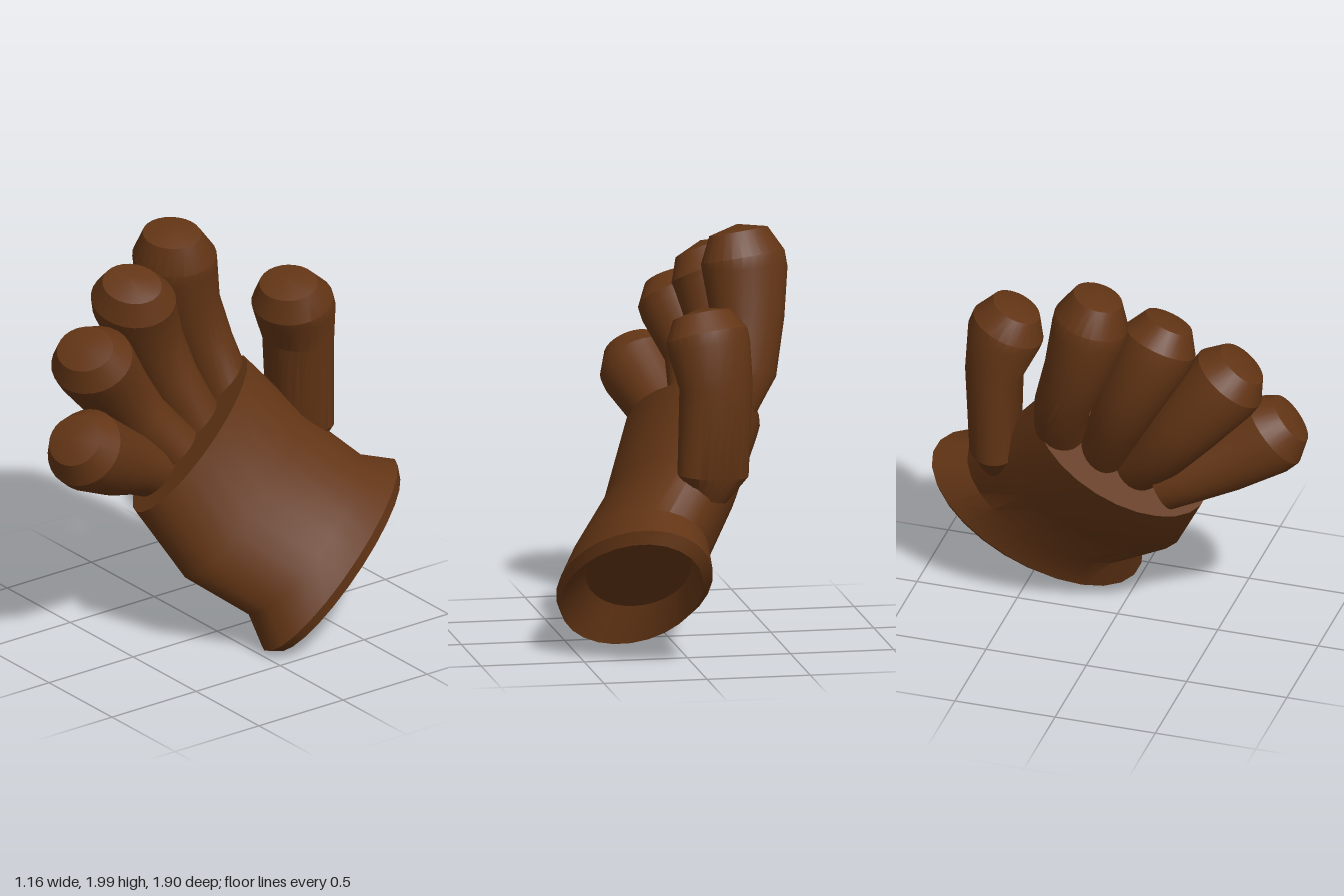
import * as THREE from 'three';
import { toCreasedNormals } from 'three/addons/utils/BufferGeometryUtils.js';

const V = (x, y, z) => new THREE.Vector3(x, y, z);
const SIDES = 26;

// Glove axes: along the hand, across the palm, through its thickness
const ALONG = V(-0.361, 0.708, 0.607).normalize();
const ACROSS = V(0.276, -0.541, 0.795).normalize();
const THICK = ALONG.clone().cross(ACROSS).normalize();
const CUFF = V(0.265, 0.335, -0.5);

const material = new THREE.MeshStandardMaterial({ color: 0x633515 });

// Skin elliptical rings { c, u, v, a, b } into a closed surface
function loft(name, rings) {
  const point = (r, j) => {
    const t = ((j % SIDES) / SIDES) * Math.PI * 2;
    return r.c.clone()
      .addScaledVector(r.u, Math.cos(t) * r.a)
      .addScaledVector(r.v, Math.sin(t) * r.b);
  };
  const pos = [];
  const tri = (...pts) => pts.forEach((p) => pos.push(p.x, p.y, p.z));
  for (let i = 0; i < rings.length - 1; i++) {
    const lo = rings[i], hi = rings[i + 1];
    for (let j = 0; j < SIDES; j++) {
      if (lo.a > 0) tri(point(lo, j), point(lo, j + 1), point(hi, j + 1));
      if (hi.a > 0) tri(point(lo, j), point(hi, j + 1), point(hi, j));
    }
  }
  const geometry = new THREE.BufferGeometry();
  geometry.setAttribute('position', new THREE.Float32BufferAttribute(pos, 3));
  const mesh = new THREE.Mesh(toCreasedNormals(geometry, 0.5), material);
  mesh.name = name;
  return mesh;
}

// Ring of the hand body: distance along, shift across, shift through, half width, half thickness
const bodyRing = ([s, across, through, a, b]) => ({
  c: CUFF.clone().addScaledVector(ALONG, s).addScaledVector(ACROSS, across).addScaledVector(THICK, through),
  u: ACROSS, v: THICK, a, b,
});

// Finger through base, knuckle, joint, upper and tip centres, ending in a bevel and a blunt point
function finger(name, points, widths, depths) {
  const p = points.map((q) => V(...q));
  const last = p.length - 1;
  const end = p[last].clone().sub(p[last - 1]).normalize();
  const centres = [
    p[0], ...p.slice(0, last),
    p[last - 1].clone().lerp(p[last], 0.35), p[last],
    p[last].clone().addScaledVector(end, 0.035),
  ];
  const rings = centres.map((c, i) => {
    const k = Math.min(Math.max(i - 1, 0), last);
    const t = p[Math.min(k + 1, last)].clone().sub(p[Math.max(k - 1, 0)]).normalize();
    const u = ACROSS.clone().addScaledVector(t, -ACROSS.dot(t)).normalize();
    return { c, u, v: t.clone().cross(u), a: widths[i], b: depths[i] };
  });
  return loft(name, rings);
}

export function createModel() {
  const glove = new THREE.Group();
  glove.name = 'glove';

  // Palm with flared cuff: recessed opening, rim band, neck, palm, knuckle face
  glove.add(loft('palmAndCuff', [
    [0.12, 0, 0, 0, 0],
    [0.12, 0, 0, 0.39, 0.22],
    [0.03, 0, 0, 0.49, 0.265],
    [-0.02, 0, 0, 0.545, 0.29],
    [0.035, 0, 0, 0.59, 0.32],
    [0.2, 0.01, 0.01, 0.495, 0.29],
    [0.56, 0.03, -0.06, 0.52, 0.27],
    [0.956, -0.02, -0.05, 0.48, 0.29],
    [0.956, -0.02, -0.05, 0, 0],
  ].map(bodyRing)));

  // Four fingers, fanned across the knuckles: path, width scale, depth scale
  const widths = [0, 0.125, 0.135, 0.16, 0.182, 0.182, 0.12, 0];
  const depths = [0, 0.145, 0.165, 0.18, 0.21, 0.21, 0.148, 0];
  const fingers = {
    indexFinger: [[[-0.21, 1.1, -0.22], [-0.335, 1.33, -0.17], [-0.37, 1.56, -0.085], [-0.37, 1.77, -0.03], [-0.345, 1.955, 0.01]], 1, 1],
    middleFinger: [[[-0.17, 1.02, -0.01], [-0.27, 1.24, 0.085], [-0.315, 1.44, 0.17], [-0.285, 1.67, 0.28], [-0.235, 1.815, 0.33]], 1, 1],
    ringFinger: [[[-0.13, 0.94, 0.15], [-0.22, 1.11, 0.3], [-0.245, 1.28, 0.425], [-0.185, 1.475, 0.585], [-0.155, 1.595, 0.67]], 1.04, 1],
    littleFinger: [[[-0.15, 0.86, 0.27], [-0.13, 0.93, 0.4], [-0.08, 1.01, 0.55], [-0.02, 1.13, 0.745], [0.015, 1.23, 0.86]], 1.07, 0.93],
  };
  for (const [name, [path, wide, deep]] of Object.entries(fingers)) {
    glove.add(finger(name, path, widths.map((w) => w * wide), depths.map((d) => d * deep)));
  }

  // Thumb, rising from a rounded root on the side of the palm
  glove.add(finger('thumb',
    [[-0.08, 0.79, -0.57], [-0.11, 0.9, -0.575], [-0.125, 1.33, -0.575], [-0.1, 1.51, -0.535], [-0.075, 1.66, -0.48]],
    [0, 0.08, 0.125, 0.14, 0.18, 0.18, 0.12, 0],
    [0, 0.1, 0.18, 0.185, 0.205, 0.205, 0.148, 0]));

  return glove;
}
